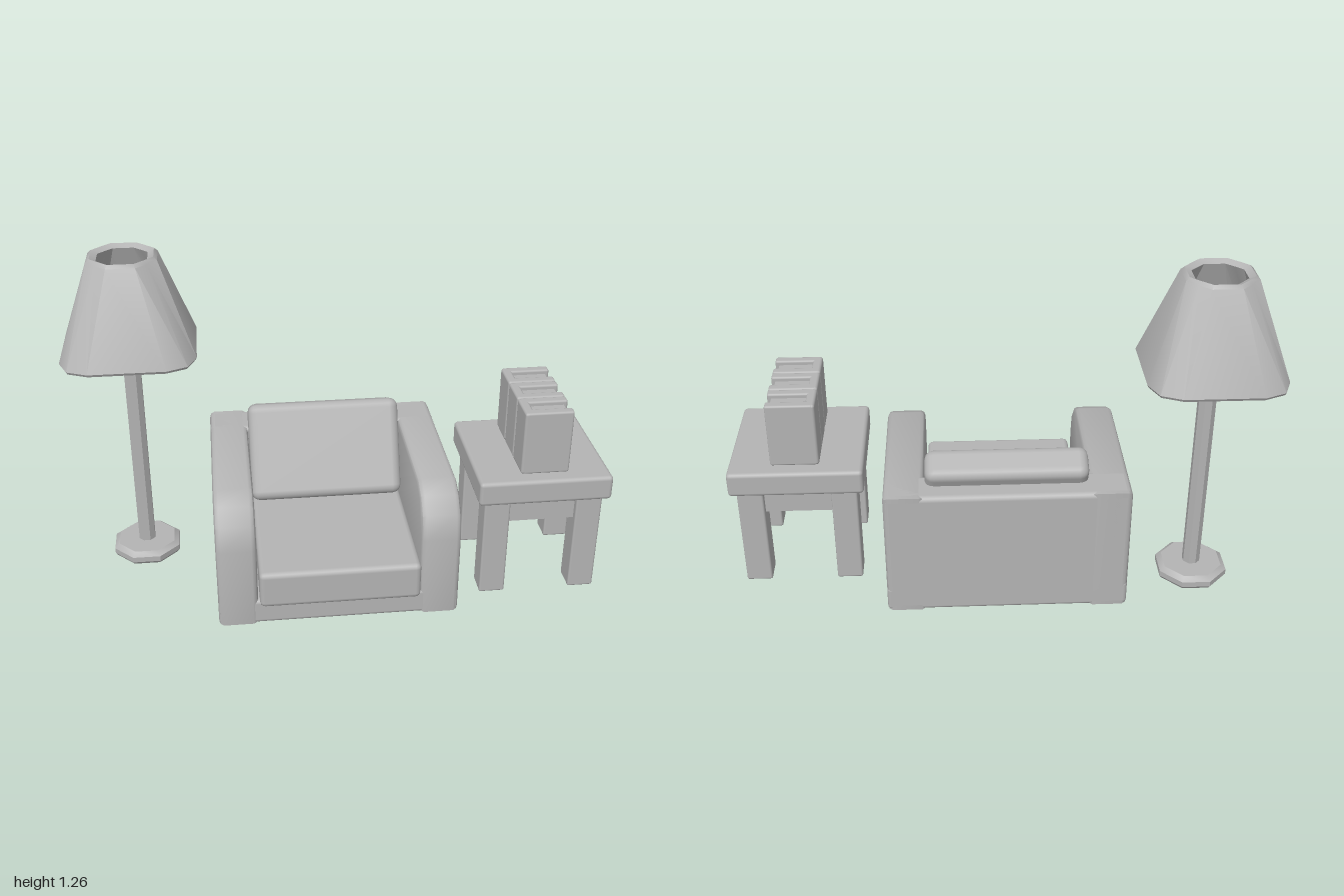
import * as THREE from 'three';
import { toCreasedNormals } from 'three/addons/utils/BufferGeometryUtils.js';
import { RoundedBoxGeometry } from 'three/addons/geometries/RoundedBoxGeometry.js';

const grey = new THREE.MeshStandardMaterial({ color: 0xb4b4b4 });
grey.name = 'plain grey';

function add(parent, name, geometry) {
  const mesh = new THREE.Mesh(geometry, grey);
  mesh.name = name;
  parent.add(mesh);
  return mesh;
}

function group(parent, name) {
  const g = new THREE.Group();
  g.name = name;
  parent.add(g);
  return g;
}

// Soft-edged box given by its limits on each axis
function box(parent, name, [x0, x1], [y0, y1], [z0, z1], r = 0.015) {
  const mesh = add(parent, name, new RoundedBoxGeometry(x1 - x0, y1 - y0, z1 - z0, 2, r));
  mesh.position.set((x0 + x1) / 2, (y0 + y1) / 2, (z0 + z1) / 2);
  return mesh;
}

// Octagonal turned part with a flat facing the front
function turned(parent, name, points) {
  const geo = new THREE.LatheGeometry(points.map(([r, y]) => new THREE.Vector2(r, y)), 8, Math.PI / 8);
  return add(parent, name, toCreasedNormals(geo, 0.6));
}

// Twelve-sided ring: a square with softened corners, from flat half-width, edge and corner
function ring([a, b, c], y) {
  const pts = [];
  for (let q = 0; q < 4; q++) {
    const cos = Math.round(Math.cos(q * Math.PI / 2)), sin = Math.round(Math.sin(q * Math.PI / 2));
    for (const [x, z] of [[a, b], [c, c], [b, a]]) pts.push([x * cos - z * sin, y, x * sin + z * cos]);
  }
  return pts;
}

// Closed shell through a loop of rings
function shell(rings) {
  const n = rings[0].length, m = rings.length, index = [];
  for (let j = 0; j < m; j++) {
    for (let i = 0; i < n; i++) {
      const k = (i + 1) % n, u = (j + 1) % m;
      const a = j * n + i, b = j * n + k, c = u * n + k, d = u * n + i;
      index.push(a, d, c, a, c, b);
    }
  }
  const geo = new THREE.BufferGeometry();
  geo.setAttribute('position', new THREE.Float32BufferAttribute(rings.flat(2), 3));
  geo.setIndex(index);
  return toCreasedNormals(geo, 0.65);
}

function buildLamp(root) {
  const lamp = group(root, 'floorLamp');
  lamp.position.set(-0.753, 0, -0.18);
  turned(lamp, 'lampBase', [[0, 0], [0.13, 0], [0.139, 0.012], [0.139, 0.034], [0.118, 0.05], [0, 0.05]]);
  turned(lamp, 'lampPole', [[0.034, 0.04], [0.034, 0.98]]);
  turned(lamp, 'lampBulb', [[0.034, 0.97], [0.058, 1.02], [0.066, 1.06], [0.045, 1.1], [0, 1.115]]);
  const low = [0.247, 0.14, 0.215], high = [0.126, 0.052, 0.09];
  const scale = (s, k) => s.map((v) => v * k);
  add(lamp, 'lampShade', shell([
    ring(scale(low, 0.98), 0.893), ring(low, 0.903),
    ring(high, 1.25), ring(scale(high, 0.9), 1.262),
    ring(scale(high, 0.72), 1.25), ring(scale(low, 0.88), 0.895),
  ]));
}

function buildArmchair(root) {
  const chair = group(root, 'armchair');
  box(chair, 'chairBase', [-0.475, 0.42], [0, 0.1], [-0.38, 0.373]);
  box(chair, 'chairBack', [-0.475, 0.42], [0, 0.5], [-0.38, -0.23], 0.02);

  // Arms: side profile with a sloped front, extruded across
  const profile = new THREE.Shape([
    [-0.38, 0], [0.375, 0], [0.375, 0.32], [0.353, 0.412], [0.3, 0.468], [0.23, 0.5], [-0.38, 0.5],
  ].map(([z, y]) => new THREE.Vector2(z, y)));
  const bevel = 0.018, width = 0.147;
  const arm = new THREE.ExtrudeGeometry(profile, {
    depth: width - 2 * bevel, bevelThickness: bevel, bevelSize: bevel, bevelOffset: -bevel, bevelSegments: 2,
  });
  arm.translate(0, 0, bevel - width / 2).rotateY(-Math.PI / 2);
  const armGeo = toCreasedNormals(arm, 0.8);
  for (const [name, x] of [['rightArm', -0.475 + width / 2], ['leftArm', 0.42 - width / 2]]) {
    add(chair, name, armGeo).position.x = x;
  }

  box(chair, 'seatCushion', [-0.323, 0.268], [0.104, 0.25], [-0.24, 0.425], 0.02);
  const back = box(chair, 'backCushion', [-0.325, 0.27], [0.22, 0.6], [-0.255, -0.125], 0.035);
  back.rotation.x = -0.44;
}

function buildTable(root) {
  const table = group(root, 'sideTable');
  box(table, 'tableTop', [0.497, 0.997], [0.403, 0.5], [-0.2, 0.3]);
  add(table, 'tableApron', new THREE.BoxGeometry(0.4, 0.11, 0.4)).position.set(0.748, 0.358, 0.05);
  for (const x of [0.524, 0.873]) {
    for (const z of [-0.173, 0.178]) box(table, 'tableLeg', [x, x + 0.098], [0, 0.42], [z, z + 0.097], 0.008);
  }

  // Three upright books with spines facing the chair
  for (let i = 0; i < 3; i++) {
    const book = group(table, 'book');
    const z = -0.143 + i * 0.1305, t = 0.127;
    box(book, 'bookSpine', [0.659, 0.695], [0.5, 0.752], [z, z + t], 0.01);
    for (const s of [z, z + t - 0.037]) box(book, 'bookCover', [0.665, 0.84], [0.5, 0.752], [s, s + 0.037], 0.008);
    box(book, 'bookPages', [0.68, 0.825], [0.507, 0.735], [z + 0.025, z + t - 0.025], 0.001);
  }
}

export function createModel() {
  const root = new THREE.Group();
  root.name = 'livingRoomSet';
  buildLamp(root);
  buildArmchair(root);
  buildTable(root);
  return root;
}
